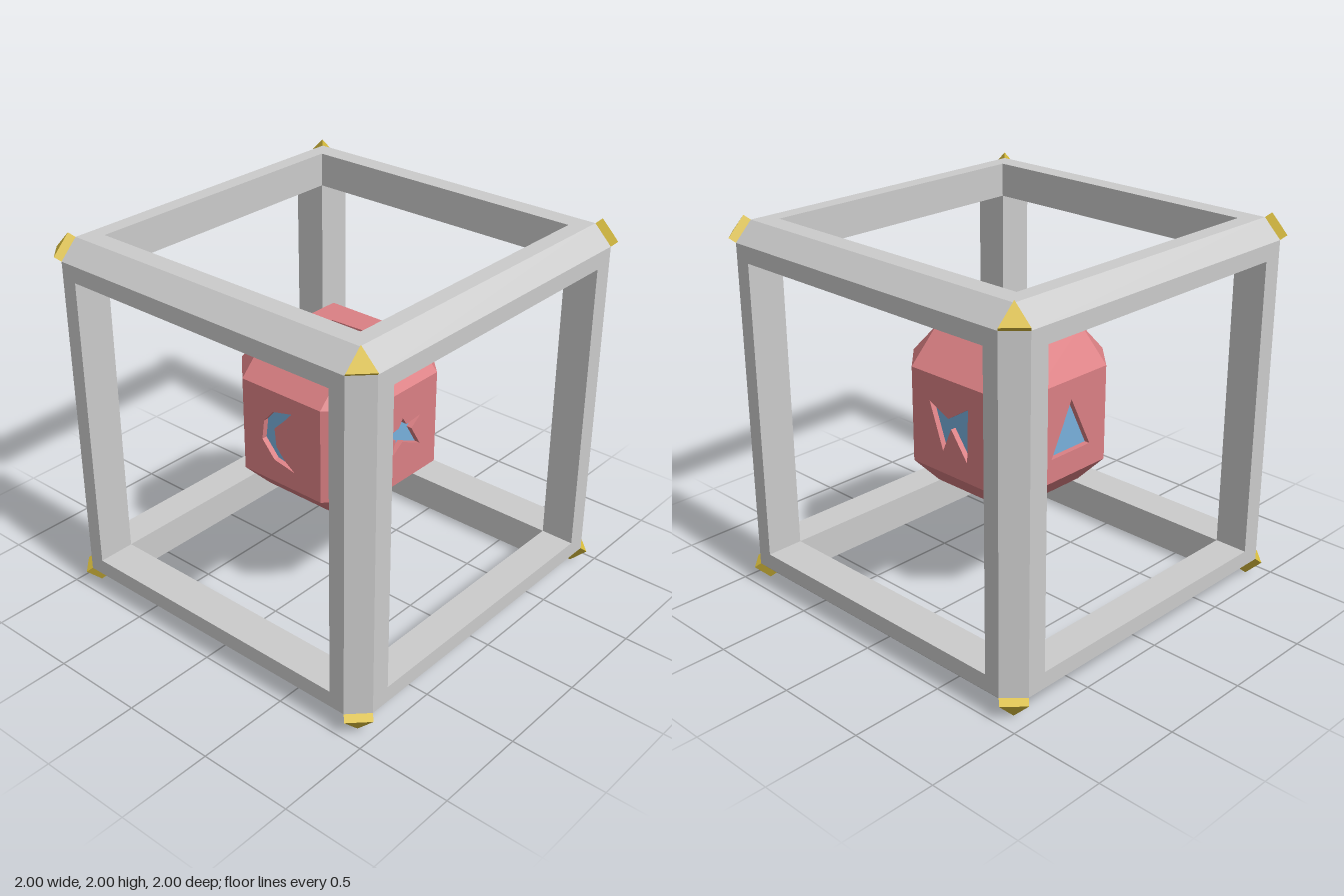
import * as THREE from 'three';
import { ConvexGeometry } from 'three/addons/geometries/ConvexGeometry.js';

const material = (color) => new THREE.MeshStandardMaterial({ color, flatShading: true });
const grey = material(0xcccccc);
const gold = material(0xd8bc3c);
const red = material(0xdb8084);
const blue = material(0x78b0dc);

const SIGNS = [-1, 1];
const OUT = 0.976, CUT = 0.88;            // frame outside and start of its chamfer
const CORE = 0.427, FACE = 0.256;         // core half size and half size of a flat face
const DEPTH = 0.03;                       // depth of the carved symbols

const toShape = (pts) => new THREE.Shape(pts.map(([x, y]) => new THREE.Vector2(x, y)));

function add(parent, name, geometry, mat) {
  const mesh = new THREE.Mesh(geometry, mat);
  mesh.name = name;
  parent.add(mesh);
  return mesh;
}

// Every ordering of (a, b, b), with the signs of one corner
const cornerPoints = (a, b, sx, sy, sz) =>
  [[a, b, b], [b, a, b], [b, b, a]].map(([x, y, z]) => new THREE.Vector3(x * sx, y * sy, z * sz));

// Square bar with its outer edge chamfered, running along z
function barGeometry(inA, inB, sa, sb) {
  const section = [[inA, inB], [OUT, inB], [OUT, CUT], [CUT, OUT], [inA, OUT]];
  const shape = toShape(section.map(([a, b]) => [a * sa, b * sb]));
  return new THREE.ExtrudeGeometry(shape, { depth: 2 * CUT, bevelEnabled: false }).translate(0, 0, -CUT);
}

function buildFrame() {
  const frame = new THREE.Group();
  frame.name = 'frame';
  for (const a of SIGNS) for (const b of SIGNS) {
    add(frame, 'depthBar', barGeometry(0.794, 0.794, a, b), grey);
    add(frame, 'widthBar', barGeometry(0.775, 0.794, a, b).rotateY(Math.PI / 2), grey);
    add(frame, 'post', barGeometry(0.794, 0.775, a, b).rotateX(Math.PI / 2), grey);
  }
  return frame;
}

// Triangular plates on the cut corners
function buildCaps() {
  const caps = new THREE.Group();
  caps.name = 'cornerCaps';
  for (const x of SIGNS) for (const y of SIGNS) for (const z of SIGNS) {
    const pts = [...cornerPoints(OUT, CUT, x, y, z), ...cornerPoints(1, 0.904, x, y, z)];
    add(caps, 'cornerCap', new ConvexGeometry(pts), gold);
  }
  return caps;
}

// Chamfered edges and corners of the core, leaving its six flat faces open
function coreEdges() {
  const pts = [];
  for (const x of SIGNS) for (const y of SIGNS) for (const z of SIGNS) pts.push(...cornerPoints(CORE, FACE, x, y, z));
  const pos = new ConvexGeometry(pts).getAttribute('position');
  const kept = [];
  const tri = new THREE.Triangle(), normal = new THREE.Vector3();
  for (let i = 0; i < pos.count; i += 3) {
    tri.setFromAttributeAndIndices(pos, i, i + 1, i + 2);
    tri.getNormal(normal);
    if (Math.max(...normal.toArray().map(Math.abs)) > 0.99) continue;
    for (const v of [tri.a, tri.b, tri.c]) kept.push(v.x, v.y, v.z);
  }
  const geometry = new THREE.BufferGeometry();
  geometry.setAttribute('position', new THREE.Float32BufferAttribute(kept, 3));
  geometry.computeVertexNormals();
  return geometry;
}

// Symbol outlines, each with the turn that brings it onto its face
const H = Math.PI / 2;
const SYMBOLS = [
  { name: 'crescent', turn: [0, 0], outline: [[0.07, 0.17], [-0.055, 0.14], [-0.115, 0.07], [-0.13, -0.04], [-0.05, -0.13],
    [0.085, -0.155], [0.02, -0.11], [-0.035, -0.05], [-0.045, 0.05], [0.025, 0.12]] },
  { name: 'star', turn: [0, H], outline: [[-0.01, 0.105], [0.02, 0.06], [0.13, 0.07], [0.06, 0.02], [0.13, -0.095],
    [-0.01, -0.03], [-0.105, -0.095], [-0.06, 0], [-0.16, 0.045], [-0.04, 0.06]] },
  { name: 'zigzag', turn: [0, 2 * H], outline: [[-0.13, 0.11], [0, 0.05], [0.14, 0.14], [0.13, -0.15], [0.02, 0], [-0.04, -0.135]] },
  { name: 'triangle', turn: [0, -H], outline: [[0, 0.15], [0.14, -0.13], [-0.14, -0.13]] },
  { name: 'hourglass', turn: [-H, 0], outline: [[-0.13, 0.095], [0.075, 0.105], [0.005, -0.012], [0.115, -0.11],
    [-0.065, -0.13], [-0.005, -0.012]] },
  { name: 'diamond', turn: [H, 0], outline: [[0, 0.14], [0.12, 0], [0, -0.14], [-0.12, 0]] },
];

function buildCore() {
  const core = new THREE.Group();
  core.name = 'core';
  add(core, 'coreEdges', coreEdges(), red);
  for (const { name, turn, outline } of SYMBOLS) {
    const face = new THREE.Group();
    face.name = name + 'Face';
    face.rotation.set(turn[0], turn[1], 0);
    // Plate with the symbol cut out
    const plate = toShape([[-FACE, -FACE], [FACE, -FACE], [FACE, FACE], [-FACE, FACE]]);
    plate.holes.push(toShape(outline));
    add(face, name + 'Plate', new THREE.ExtrudeGeometry(plate, { depth: DEPTH, bevelEnabled: false })
      .translate(0, 0, CORE - DEPTH), red);
    // Coloured floor of the carving
    add(face, name + 'Symbol', new THREE.ShapeGeometry(toShape(outline)).translate(0, 0, CORE - DEPTH), blue);
    core.add(face);
  }
  return core;
}

export function createModel() {
  const model = new THREE.Group();
  model.name = 'framedCore';
  const body = new THREE.Group();
  body.name = 'body';
  body.position.y = 1;
  body.add(buildFrame(), buildCaps(), buildCore());
  model.add(body);
  return model;
}
